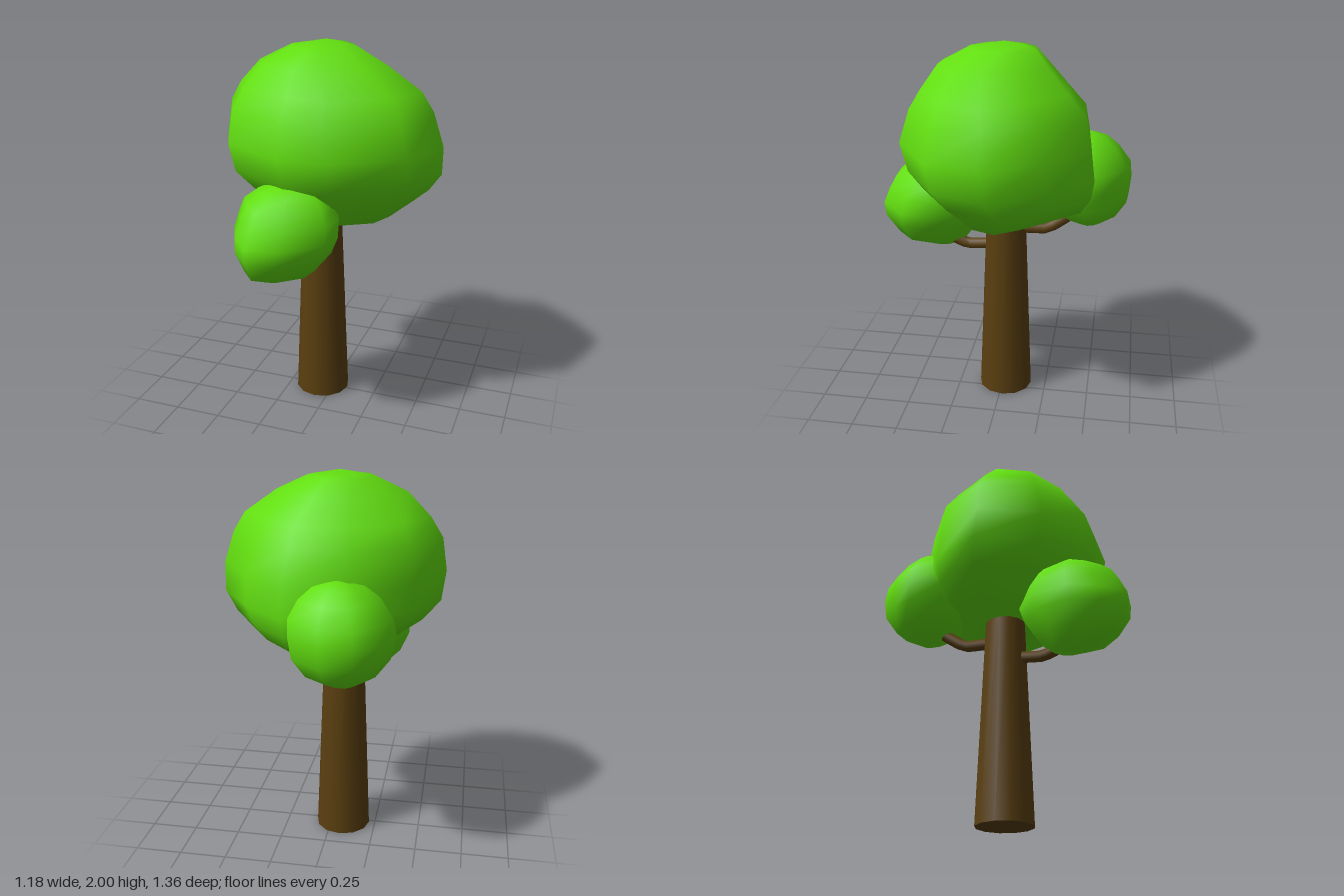
import * as THREE from 'three';

const leafGreen = new THREE.MeshStandardMaterial({ color: 0x62de10 });
const barkBrown = new THREE.MeshStandardMaterial({ color: 0x5a3f10 });
leafGreen.name = 'leafGreen';
barkBrown.name = 'barkBrown';

// Closed foliage mass lofted from rings [y, xMin, xMax, zMin, zMax],
// each ring being the unit outline fitted to its extents.
function foliage(name, outline, rings) {
  const n = outline.length;
  const pos = [];
  const index = [];
  const middle = ([y, x0, x1, z0, z1]) => [(x0 + x1) / 2, y, (z0 + z1) / 2];
  for (const ring of rings) {
    const [y, x0, x1, z0, z1] = ring;
    const [cx, , cz] = middle(ring);
    for (const [u, v] of outline) pos.push(cx + u * (x1 - x0) / 2, y, cz + v * (z1 - z0) / 2);
  }
  const bottom = rings.length * n;
  const top = bottom + 1;
  const last = (rings.length - 1) * n;
  const apex = middle(rings[rings.length - 1]);
  pos.push(...middle(rings[0]), apex[0], apex[1] + 0.02, apex[2]);
  for (let j = 0; j < n; j++) {
    const k = (j + 1) % n;
    index.push(bottom, j, k, top, last + k, last + j);
    for (let r = 0; r < last; r += n) {
      index.push(r + j, r + n + j, r + k, r + k, r + n + j, r + n + k);
    }
  }
  const geo = new THREE.BufferGeometry();
  geo.setAttribute('position', new THREE.Float32BufferAttribute(pos, 3));
  geo.setIndex(index);
  geo.computeVertexNormals();
  const mesh = new THREE.Mesh(geo, leafGreen);
  mesh.name = name;
  return mesh;
}

// Bent branch running from the trunk into a foliage mass
function branch(name, points) {
  const path = new THREE.CatmullRomCurve3(
    points.map((p) => new THREE.Vector3(...p)), false, 'catmullrom', 0.15);
  const mesh = new THREE.Mesh(new THREE.TubeGeometry(path, 12, 0.032, 8), barkBrown);
  mesh.name = name;
  return mesh;
}

export function createModel() {
  const tree = new THREE.Group();
  tree.name = 'tree';

  // Tapered trunk
  const trunk = new THREE.Mesh(new THREE.CylinderGeometry(0.103, 0.15, 1.2, 12), barkBrown);
  trunk.name = 'trunk';
  trunk.position.set(-0.066, 0.6, -0.015);
  tree.add(trunk);

  // Branches
  tree.add(branch('frontBranch', [[-0.08, 0.885, 0], [-0.09, 0.865, 0.2], [-0.1, 0.91, 0.32], [-0.11, 1.0, 0.4]]));
  tree.add(branch('backBranch', [[-0.07, 0.988, 0], [-0.08, 0.988, -0.24], [-0.09, 1.1, -0.4], [-0.1, 1.2, -0.45]]));

  // Main crown, diamond-like in plan
  const crownOutline = [[1, 0], [0.81, 0.58], [0.24, 1], [-0.17, 1], [-0.76, 0.6],
    [-1, 0], [-0.75, -0.54], [-0.24, -0.96], [0.29, -1], [0.68, -0.56]];
  tree.add(foliage('crown', crownOutline, [
    [1.09, -0.22, 0.31, -0.22, 0.2],
    [1.17, -0.36, 0.42, -0.43, 0.3],
    [1.25, -0.48, 0.51, -0.48, 0.39],
    [1.35, -0.57, 0.58, -0.495, 0.47],
    [1.5, -0.59, 0.588, -0.475, 0.51],
    [1.67, -0.565, 0.53, -0.44, 0.46],
    [1.77, -0.5, 0.47, -0.35, 0.4],
    [1.89, -0.38, 0.3, -0.24, 0.32],
    [1.97, -0.22, 0.13, -0.17, 0.17],
    [1.98, -0.15, 0.07, -0.11, 0.1],
  ]));

  // Small front and back clumps, blunt on their outer side
  const clumpOutline = [[1, 0], [0.9, 0.46], [0.27, 0.95], [-0.35, 1], [-0.75, 0.58],
    [-1, 0.1], [-0.8, -0.55], [-0.3, -0.95], [0.3, -0.95], [0.8, -0.55]];
  tree.add(foliage('frontClump', clumpOutline, [
    [0.85, -0.24, -0.08, 0.27, 0.44],
    [0.91, -0.33, 0.04, 0.2, 0.61],
    [1.02, -0.38, 0.13, 0.12, 0.675],
    [1.1, -0.385, 0.16, 0.09, 0.68],
    [1.19, -0.36, 0.16, 0.1, 0.64],
    [1.26, -0.33, 0.13, 0.15, 0.6],
    [1.32, -0.25, 0.08, 0.22, 0.54],
    [1.345, -0.17, 0.01, 0.3, 0.48],
  ]));
  const backOutline = clumpOutline.map(([u, v]) => [u, -v]).reverse();
  tree.add(foliage('backClump', backOutline, [
    [1.03, -0.2, -0.04, -0.52, -0.4],
    [1.08, -0.29, 0.06, -0.61, -0.3],
    [1.17, -0.36, 0.13, -0.67, -0.2],
    [1.27, -0.385, 0.15, -0.68, -0.15],
    [1.36, -0.37, 0.15, -0.67, -0.15],
    [1.45, -0.31, 0.1, -0.605, -0.2],
    [1.51, -0.23, 0.03, -0.54, -0.28],
    [1.53, -0.16, -0.03, -0.48, -0.36],
  ]));

  return tree;
}
